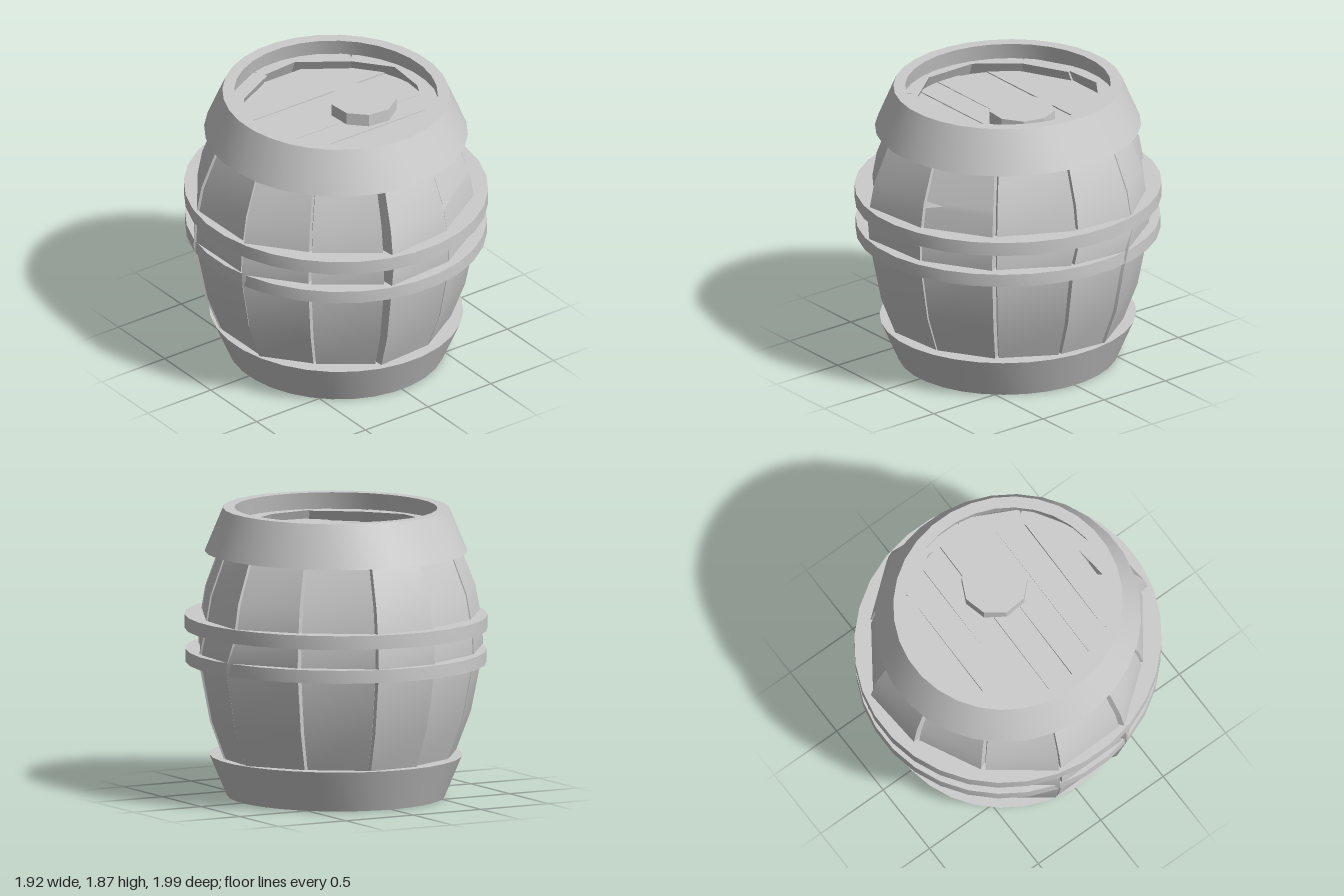
import * as THREE from 'three';
import { toCreasedNormals } from 'three/addons/utils/BufferGeometryUtils.js';

const Z_STRETCH = 1.035; // the barrel is slightly deeper than wide

export function createModel() {
  const barrel = new THREE.Group();
  barrel.name = 'barrel';
  const wood = new THREE.MeshStandardMaterial({ color: 0xcccccc });
  const add = (name, geometry) => {
    const mesh = new THREE.Mesh(geometry, wood);
    mesh.name = name;
    barrel.add(mesh);
    return mesh;
  };

  // Hoop: closed ring given by outer radius and wall thickness at each end
  const hoop = (name, y0, y1, r0, r1, wall0, wall1) => {
    const profile = [[r0 - wall0, y0], [r0, y0], [r1, y1], [r1 - wall1, y1], [r0 - wall0, y0]]
      .map(([r, y]) => new THREE.Vector2(r, y));
    const g = new THREE.LatheGeometry(profile, 32);
    g.rotateY(Math.PI / 32);
    g.scale(1, 1, Z_STRETCH);
    add(name, toCreasedNormals(g, 0.5));
  };
  hoop('bottomHoop', 0, 0.27, 0.695, 0.808, 0.07, 0.13);
  hoop('lowerBellyHoop', 0.87, 0.955, 0.96, 0.96, 0.12, 0.12);
  hoop('upperBellyHoop', 1.09, 1.18, 0.967, 0.967, 0.12, 0.12);
  hoop('topHoop', 1.59, 1.87, 0.838, 0.722, 0.13, 0.075);

  // Staves: outer belly corners [x, z, x, z]; four more numbers where the
  // lower half of the stave is shifted against the upper half
  const corners = [
    [-0.24, 0.945, 0.23, 0.895, -0.24, 0.92, 0.23, 0.885],
    [0.24, 0.88, 0.64, 0.63],
    [0.65, 0.6, 0.885, 0.14, 0.65, 0.6, 0.885, 0.2],
    [0.885, 0.12, 0.915, -0.285, 0.885, 0.17, 0.915, -0.2],
    [0.905, -0.3, 0.64, -0.63, 0.925, -0.22, 0.64, -0.63],
    [0.62, -0.64, 0.235, -0.91],
    [0.225, -0.935, -0.2, -0.905], [-0.21, -0.87, -0.61, -0.67],
    [-0.63, -0.65, -0.915, -0.27], [-0.91, -0.25, -0.905, 0.22],
    [-0.92, 0.25, -0.65, 0.59], [-0.64, 0.61, -0.27, 0.88],
  ];
  const levels = [[0.09, 0.765], [0.27, 0.832], [0.52, 0.935], [0.92, 1.02],
    [1.1, 1.012], [1.34, 0.965], [1.59, 0.86], [1.76, 0.775]];
  // One stave is split at its edge: third value pulls the corner inwards
  const splitLevels = [...levels.slice(0, 5), [1.31, 0.972, 0],
    [1.335, 0.966, 0.25], [1.355, 0.959, 0], ...levels.slice(6)];

  const stave = (corner, rows) => {
    const pos = [];
    const idx = [];
    for (const [y, s, split = 0] of rows) {
      const [ax, az, bx, bz] = y < 1 ? corner.slice(-4) : corner;
      const a = new THREE.Vector2(ax, az).multiplyScalar(s);
      const b = new THREE.Vector2(bx, bz).multiplyScalar(s);
      const chord = b.clone().sub(a);
      const inward = new THREE.Vector2(chord.y, -chord.x).setLength(0.1);
      a.lerp(b, split);
      for (const p of [a, b, b.clone().add(inward), a.clone().add(inward)]) pos.push(p.x, y, p.y);
    }
    const quad = (a, b, c, d) => idx.push(a, b, c, a, c, d);
    for (let r = 0; r < rows.length - 1; r++) {
      for (let i = 0; i < 4; i++) {
        const j = (i + 1) % 4;
        quad(r * 4 + i, r * 4 + j, r * 4 + 4 + j, r * 4 + 4 + i);
      }
    }
    const t = (rows.length - 1) * 4;
    quad(t, t + 1, t + 2, t + 3);
    quad(3, 2, 1, 0);
    const g = new THREE.BufferGeometry();
    g.setAttribute('position', new THREE.Float32BufferAttribute(pos, 3));
    g.setIndex(idx);
    return toCreasedNormals(g, 0.6);
  };
  corners.forEach((c, i) => add(`stave${i + 1}`, stave(c, i === 1 ? splitLevels : levels)));

  // Lids: seven planks trimmed to a circle, each turned a little
  const lid = (name, top) => {
    const half = (z) => Math.sqrt(Math.max(0.64 ** 2 - z * z, 0.04));
    for (let i = 0; i < 7; i++) {
      const z0 = -0.625 + i * 0.178;
      const z1 = z0 + 0.176;
      const zm = (z0 + z1) / 2;
      const shape = new THREE.Shape([
        new THREE.Vector2(-half(z0), z0), new THREE.Vector2(half(z0), z0),
        new THREE.Vector2(half(zm), zm), new THREE.Vector2(half(z1), z1),
        new THREE.Vector2(-half(z1), z1), new THREE.Vector2(-half(zm), zm),
      ]);
      const g = new THREE.ExtrudeGeometry(shape, { depth: 0.06, bevelEnabled: false });
      g.rotateX(Math.PI / 2);
      const plank = add(`${name}Plank${i + 1}`, g);
      plank.position.y = top + 0.004 * Math.sin(i * 2.3);
      plank.rotation.y = -0.012 + 0.004 * Math.sin(i * 1.7);
    }
  };
  lid('topLid', 1.69);
  lid('bottomLid', 0.11);

  // Bung: faceted plug on the top lid
  const bungGeometry = new THREE.CylinderGeometry(0.215, 0.215, 0.1, 9).toNonIndexed();
  bungGeometry.computeVertexNormals();
  const bung = add('bung', bungGeometry);
  bung.position.set(0.19, 1.725, 0.035);
  bung.rotation.y = 0.25;

  return barrel;
}
